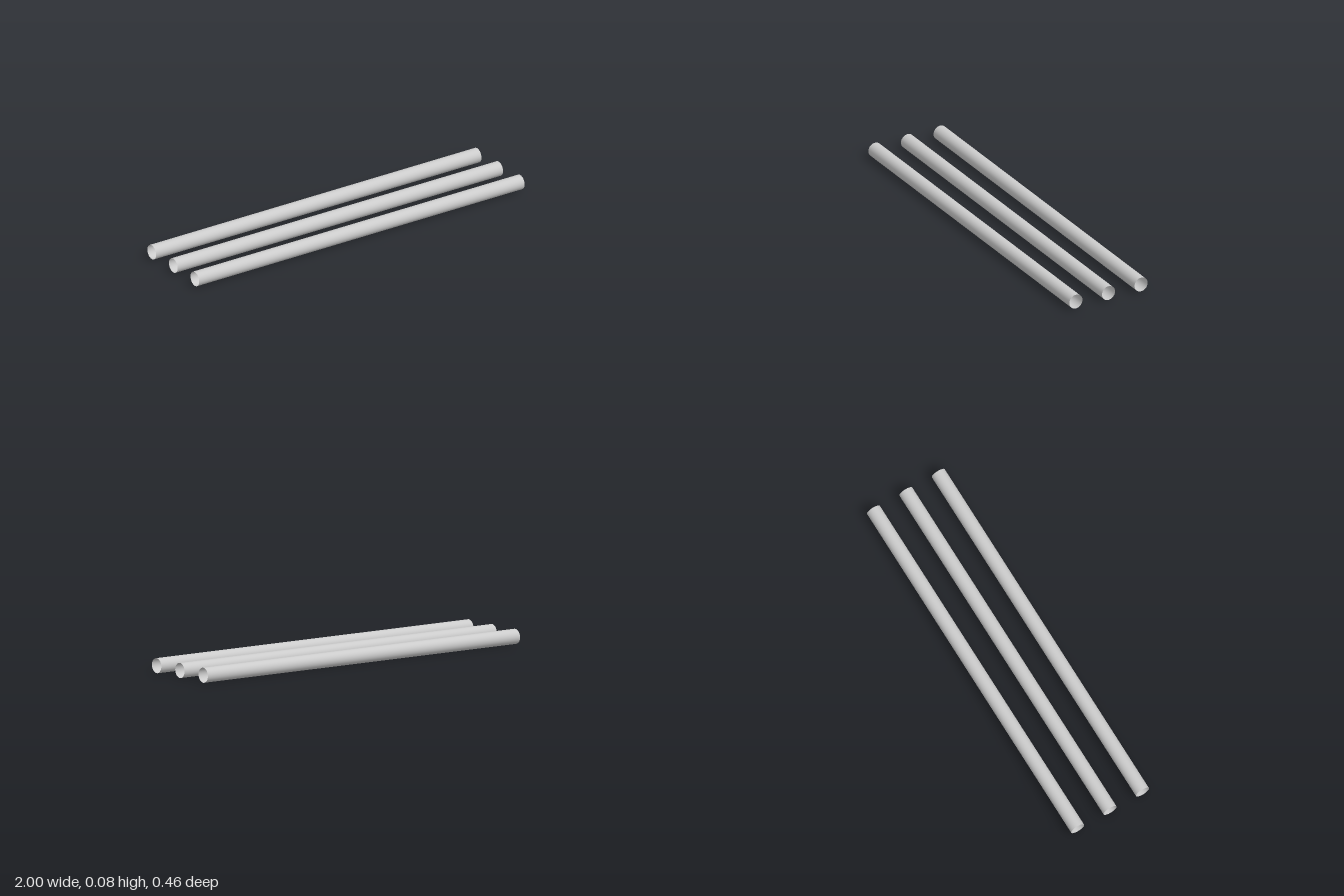
import * as THREE from 'three';

const LENGTH = 2;
const RADIUS = 0.0385;
const SPACING = 0.191;

export function createModel() {
  const model = new THREE.Group();
  model.name = 'tubes';
  const material = new THREE.MeshStandardMaterial({ color: 0xcccccc, side: THREE.DoubleSide });

  // Open, thin-walled tube lying along x
  const geometry = new THREE.CylinderGeometry(RADIUS, RADIUS, LENGTH, 32, 1, true);
  geometry.rotateZ(Math.PI / 2);

  // Three parallel tubes, back to front
  ['backTube', 'middleTube', 'frontTube'].forEach((name, i) => {
    const tube = new THREE.Mesh(geometry, material);
    tube.name = name;
    tube.position.set(0, RADIUS, (i - 1) * SPACING);
    model.add(tube);
  });

  return model;
}
